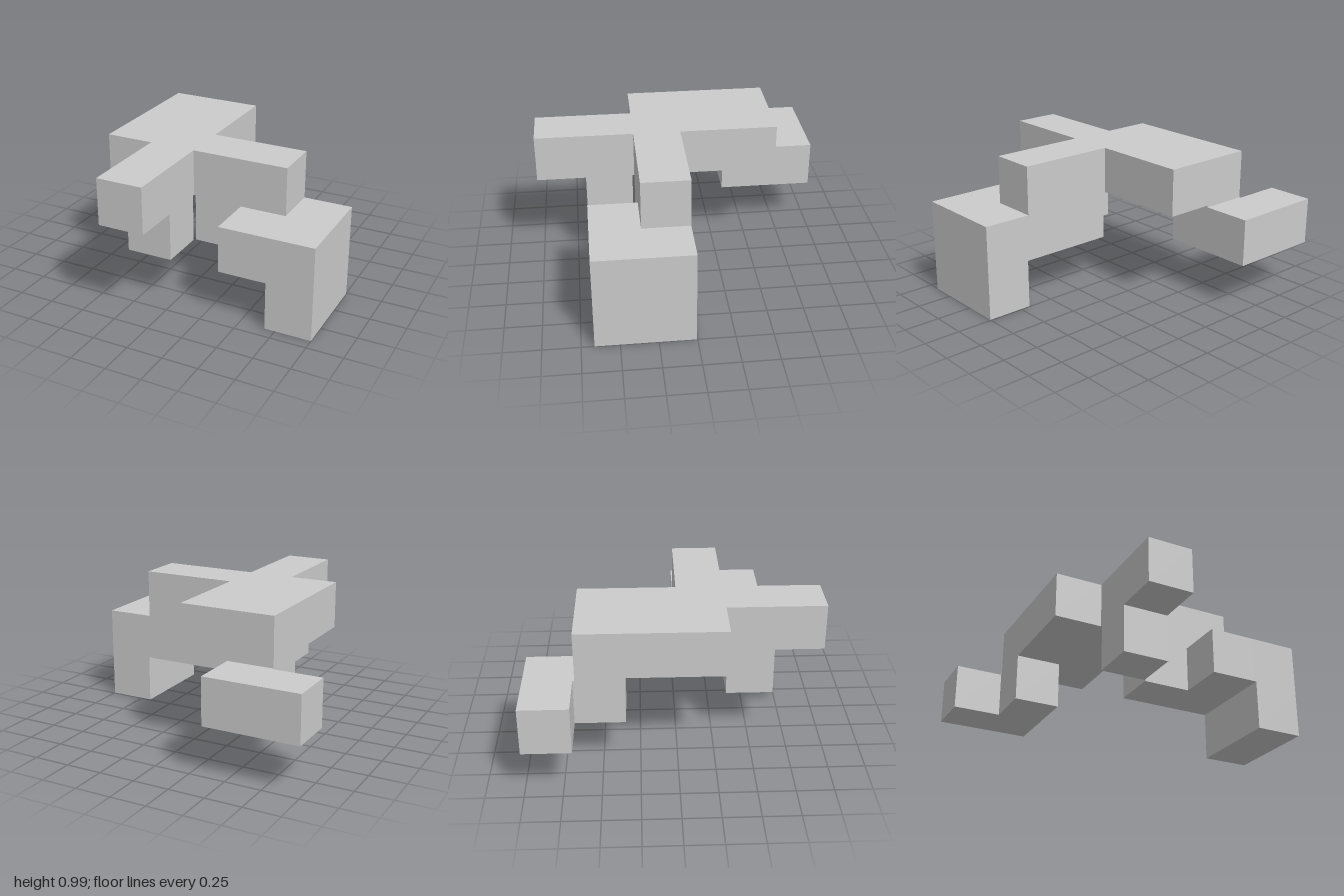
import * as THREE from 'three';

const PITCH = 0.3355; // distance between cube starts
const SIZE = 0.3225;  // cube edge, leaving a thin clearance gap

// Bars of unit cubes: first cell [x, y, z] and length in cells [x, y, z]
const BARS = [
  { from: [1, 2, 1], size: [2, 1, 3] }, // top slab
  { from: [2, 2, 4], size: [1, 1, 2] }, // front arm
  { from: [2, 1, 4], size: [1, 1, 1] }, // peg under front arm
  { from: [3, 1, 3], size: [2, 2, 1] }, // side wall
  { from: [4, 1, 4], size: [1, 1, 1] }, // side step
  { from: [5, 0, 3], size: [1, 2, 2] }, // standing foot
  { from: [1, 1, 0], size: [1, 1, 2] }, // back hanger
  { from: [0, 1, 0], size: [1, 1, 1] }, // back hanger tip
];

const hasCube = (cell) => BARS.some(({ from, size }) =>
  cell.every((c, i) => c >= from[i] && c < from[i] + size[i]));

// Even slots are cubes, odd slots are the gaps between them;
// a gap is bridged only when every cube touching it is present.
function isSolid(slot) {
  let cells = [[]];
  for (const s of slot) {
    const options = s % 2 ? [(s - 1) / 2, (s + 1) / 2] : [s / 2];
    cells = cells.flatMap((c) => options.map((o) => [...c, o]));
  }
  return cells.every(hasCube);
}

const edge = (n) => Math.floor(n / 2) * PITCH + (n % 2) * SIZE;

// Outer skin of the joined cubes, with no inner walls
function skinGeometry() {
  const positions = [];
  const addFace = (slot, axis, side) => {
    const u = (axis + 1) % 3, v = (axis + 2) % 3;
    const corners = [[0, 0], [1, 0], [1, 1], [0, 1]].map(([a, b]) => {
      const p = [0, 0, 0];
      p[axis] = edge(slot[axis] + side);
      p[u] = edge(slot[u] + a);
      p[v] = edge(slot[v] + b);
      return [p[0] - 1, p[1], p[2] - 1];
    });
    if (!side) corners.reverse();
    for (const i of [0, 1, 2, 0, 2, 3]) positions.push(...corners[i]);
  };
  for (let x = 0; x < 11; x++) for (let y = 0; y < 5; y++) for (let z = 0; z < 11; z++) {
    const slot = [x, y, z];
    if (!isSolid(slot)) continue;
    for (let axis = 0; axis < 3; axis++) for (const side of [0, 1]) {
      const next = [...slot];
      next[axis] += side ? 1 : -1;
      if (!isSolid(next)) addFace(slot, axis, side);
    }
  }
  const geometry = new THREE.BufferGeometry();
  geometry.setAttribute('position', new THREE.Float32BufferAttribute(positions, 3));
  geometry.computeVertexNormals();
  return geometry;
}

export function createModel() {
  const group = new THREE.Group();
  group.name = 'cubePuzzle';
  const piece = new THREE.Mesh(skinGeometry(),
    new THREE.MeshStandardMaterial({ color: 0xcccccc, flatShading: true }));
  piece.name = 'interlockingPuzzlePiece';
  group.add(piece);
  return group;
}
